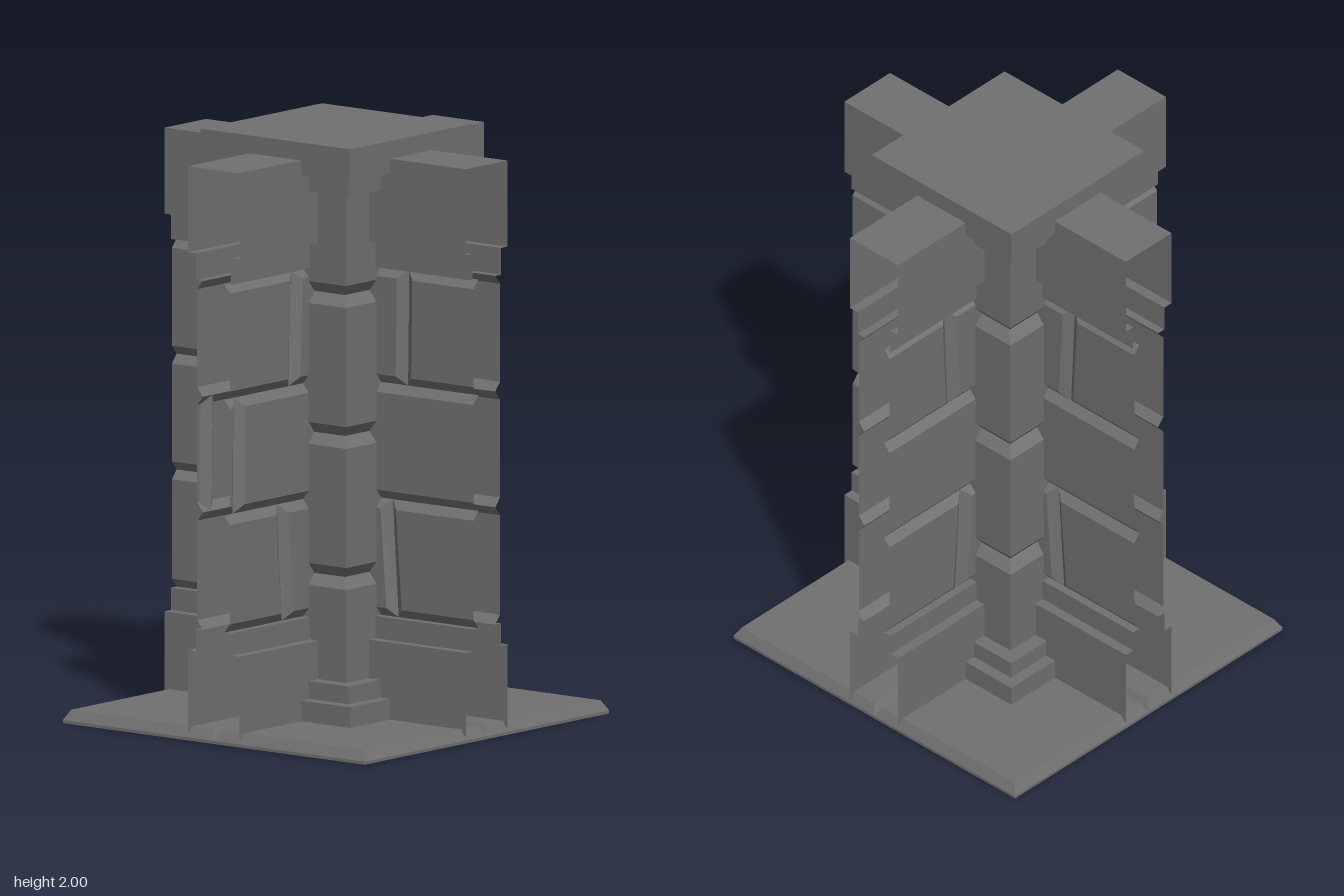
import * as THREE from 'three';
import { mergeGeometries } from 'three/addons/utils/BufferGeometryUtils.js';
import { ConvexGeometry } from 'three/addons/geometries/ConvexGeometry.js';

const END = 0.645;    // outer end of walls and floor
const START = 0.15;   // wall start, hidden in the pillar
const FACE = 0.07;    // brick face, from wall centre
const JOINT = 0.045;  // bottom of the mortar grooves

function fromTriangles(points) {
  const g = new THREE.BufferGeometry();
  g.setAttribute('position', new THREE.Float32BufferAttribute(points.flat(), 3));
  g.computeVertexNormals();
  return g;
}

const quad = (a, b, c, d) => [a, b, c, a, c, d];

// Joins four-cornered rings; sides lists which of the four sides to build
function loft(rings, { sides = [0, 1, 2, 3], capStart = true } = {}) {
  const tris = [];
  for (let r = 0; r < rings.length - 1; r++) {
    const lo = rings[r], hi = rings[r + 1];
    for (const i of sides) {
      const j = (i + 1) % 4;
      tris.push(...quad(lo[i], lo[j], hi[j], hi[i]));
    }
  }
  const first = rings[0], last = rings[rings.length - 1];
  if (capStart) tris.push(...quad(first[3], first[2], first[1], first[0]));
  tris.push(...quad(...last));
  return fromTriangles(tris);
}

const squareRing = (y, h, cx = 0, cz = 0) =>
  [[cx - h, y, cz + h], [cx + h, y, cz + h], [cx + h, y, cz - h], [cx - h, y, cz - h]];

// Open strip: a (z, y) profile drawn along the wall
function strip(profile) {
  const tris = [];
  for (let i = 0; i < profile.length - 1; i++) {
    const [z0, y0] = profile[i], [z1, y1] = profile[i + 1];
    tris.push(...quad([START, y0, z0], [END, y0, z0], [END, y1, z1], [START, y1, z1]));
  }
  return fromTriangles(tris);
}

// One bevelled brick between two slanted joints, each [x at top, x at bottom]
function brick(left, right, yTop, yBottom, bevelLeft, bevelRight) {
  const l = bevelLeft ? 0.033 : 0, r = bevelRight ? 0.033 : 0, v = 0.03;
  const back = [[left[1], yBottom, JOINT], [right[1], yBottom, JOINT],
    [right[0], yTop, JOINT], [left[0], yTop, JOINT]];
  const front = [[left[1] + l, yBottom + v, FACE], [right[1] - r, yBottom + v, FACE],
    [right[0] - r, yTop - v, FACE], [left[0] + l, yTop - v, FACE]];
  const sides = [0, 2];
  if (bevelRight) sides.push(1);
  if (bevelLeft) sides.push(3);
  return loft([back, front], { sides, capStart: false });
}

const ROWS = [[1.56, 1.17], [1.17, 0.78], [0.78, 0.385]];

// Joints for the three rows of each wall, as distances from the centre
const WALLS = [
  { name: 'rightHandWall', turn: 0, joints: [[[0.355, 0.34]], [], [[0.28, 0.303]]] },
  { name: 'oppositeWall', turn: Math.PI, joints: [[[0.295, 0.307]], [[0.595, 0.6]], [[0.367, 0.342]]] },
  { name: 'frontWall', turn: -Math.PI / 2, joints: [[[0.35, 0.345]], [], [[0.28, 0.305]]] },
  { name: 'backWall', turn: Math.PI / 2, joints: [[[0.35, 0.332]], [], [[0.275, 0.3]]] },
];
WALLS[0].name = 'leftWall';
WALLS[1].name = 'rightWall';

function buildWall({ name, turn, joints }, material) {
  const wall = new THREE.Group();
  wall.name = name;

  // Brick courses, mirrored to both faces of the wall
  const bricks = [];
  ROWS.forEach(([top, bottom], row) => {
    const edges = [[START, START], ...joints[row], [END, END]];
    for (let i = 0; i < edges.length - 1; i++) {
      bricks.push(brick(edges[i], edges[i + 1], top, bottom, i > 0, i < edges.length - 2));
    }
  });
  const brickGeometry = mergeGeometries(bricks);

  // Stepped trims, open at the outer end
  const half = [[JOINT, 1.56], [0.075, 1.56], [0.075, 1.65], [0.11, 1.65], [0.11, 1.94]];
  const topTrim = strip([...half, ...half.map(([z, y]) => [-z, y]).reverse()]);
  const baseTrim = strip([[0.11, 0.03], [0.11, 0.31], [0.075, 0.31], [0.075, 0.385], [JOINT, 0.385]]);

  const top = new THREE.Mesh(topTrim, material);
  top.name = 'topTrim';
  wall.add(top);
  for (const side of [1, -1]) {
    const courses = new THREE.Mesh(brickGeometry, material);
    courses.name = 'brickCourses';
    const base = new THREE.Mesh(baseTrim, material);
    base.name = 'baseTrim';
    courses.scale.z = base.scale.z = side;
    wall.add(courses, base);
  }
  wall.rotation.y = turn;
  return wall;
}

export function createModel() {
  const model = new THREE.Group();
  model.name = 'wallCrossing';
  const stone = new THREE.MeshStandardMaterial({ color: 0x707070, side: THREE.DoubleSide });
  stone.name = 'greyStone';

  const add = (name, geometry) => {
    const mesh = new THREE.Mesh(geometry, stone);
    mesh.name = name;
    model.add(mesh);
  };

  // Four bevelled floor tiles
  const h = END / 2;
  for (const x of [-h, h]) {
    for (const z of [-h, h]) {
      add('floorTile', loft([squareRing(0.005, h, x, z), squareRing(0.015, h, x, z),
        squareRing(0.05, h - 0.02, x, z)]));
    }
  }

  // Pillar: stepped foot, shaft with grooves, stepped cap
  add('pillarFoot', loft([[0, 0.32], [0.12, 0.32], [0.12, 0.28], [0.18, 0.28]]
    .map(([y, r]) => squareRing(y, r))));
  const shaft = [[0.17, 0.23]];
  for (const y of [0.53, 1.005, 1.48]) {
    shaft.push([y - 0.037, 0.23], [y, 0.2], [y + 0.037, 0.23]);
  }
  shaft.push([1.84, 0.23]);
  add('pillarShaft', loft(shaft.map(([y, r]) => squareRing(y, r))));
  add('pillarCap', loft([squareRing(1.89, 0.32), squareRing(2, 0.32)]));

  // Lower cap slab with one chipped corner
  const c = 0.28;
  add('chippedCapSlab', new ConvexGeometry([
    ...squareRing(1.89, c), ...squareRing(1.83, c).filter(([x, , z]) => x < 0 || z < 0),
    [0.243, 1.83, c], [c, 1.83, 0.243], [c, 1.863, c],
  ].map((p) => new THREE.Vector3(...p))));

  for (const wall of WALLS) model.add(buildWall(wall, stone));
  return model;
}
